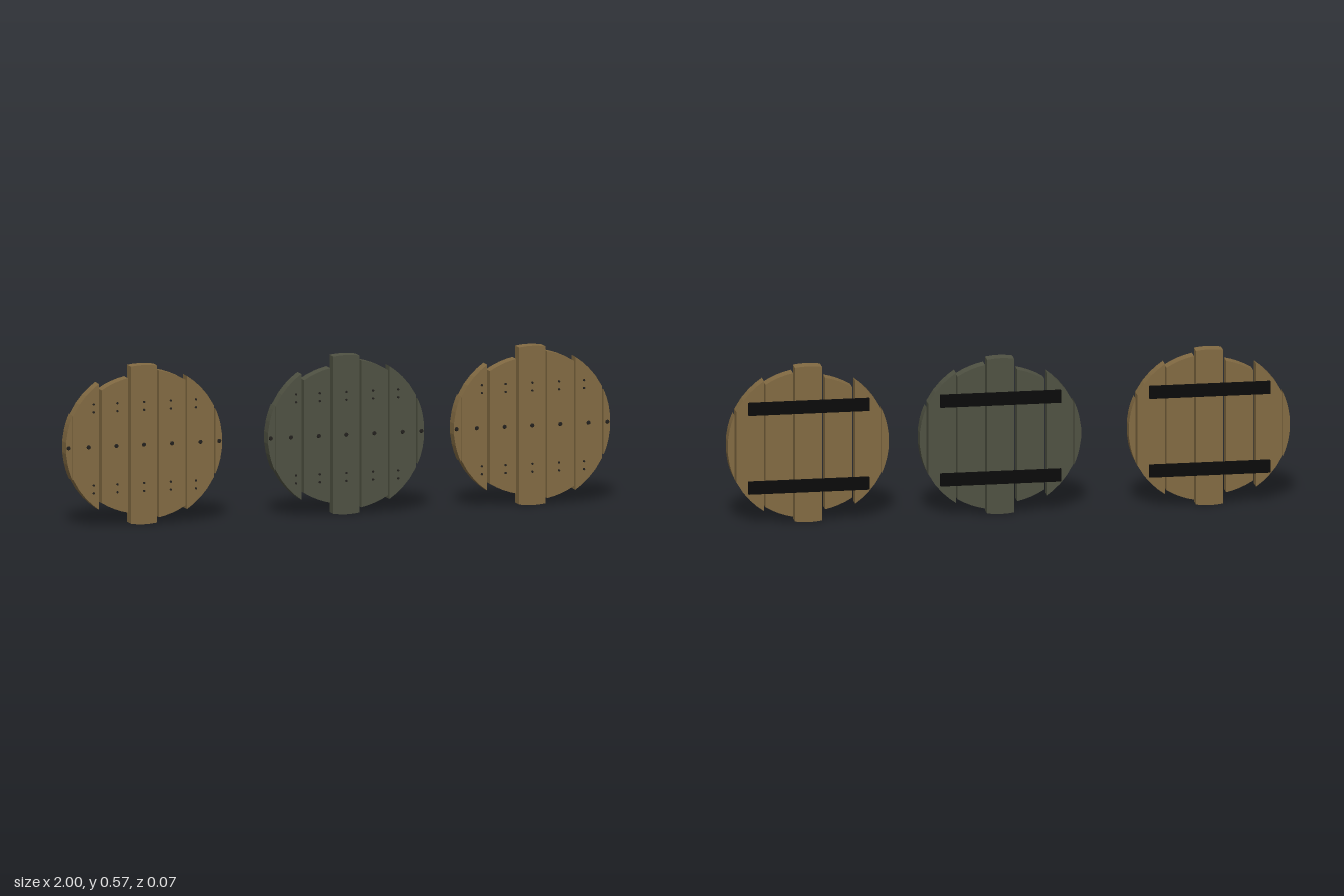
import * as THREE from 'three';

const R = 0.283;
const BACK = -0.018;
const FRONT = 0.029;

const mat = (name, color) => {
  const m = new THREE.MeshStandardMaterial({ color });
  m.name = name;
  return m;
};

// Planks of one disc: left edge, right edge, amount trimmed off each end
const PLANKS = [
  [-0.287, -0.262, 0],
  [-0.26, -0.165, 0.008],
  [-0.155, -0.059, 0.038],
  [-0.048, 0.048, 0],
  [0.055, 0.153, 0.017],
  [0.158, 0.256, 0],
  [0.262, 0.286, 0],
];

// Board whose ends follow the round outline
function plankGeometry(x0, x1, trim) {
  const steps = 4;
  const top = [];
  for (let i = 0; i <= steps; i++) {
    const x = x0 + ((x1 - x0) * i) / steps;
    const h = Math.sqrt(Math.max(0.0004, 0.287 ** 2 - x * x)) * (R / 0.287) - trim;
    top.push(new THREE.Vector2(x, h));
  }
  const bottom = top.map((p) => new THREE.Vector2(p.x, -p.y)).reverse();
  const geo = new THREE.ExtrudeGeometry(new THREE.Shape([...top, ...bottom]), {
    depth: FRONT - BACK,
    bevelEnabled: false,
  });
  return geo.translate(0, 0, BACK);
}

function createDisc(wood, iron, nailMat) {
  const disc = new THREE.Group();
  const add = (name, geo, material, x = 0, y = 0, z = 0) => {
    const mesh = new THREE.Mesh(geo, material);
    mesh.name = name;
    mesh.position.set(x, y, z);
    disc.add(mesh);
  };

  for (const [x0, x1, trim] of PLANKS) add('plank', plankGeometry(x0, x1, trim), wood);

  // Two rails across the back
  const rail = new THREE.BoxGeometry(0.43, 0.044, 0.016);
  for (const y of [0.138, -0.148]) add('backRail', rail, iron, 0, y, BACK - 0.008);

  // Large nails in a row across the middle
  const bigNail = new THREE.CylinderGeometry(0.006, 0.008, 0.006, 8).rotateX(Math.PI / 2);
  for (const x of [-0.277, -0.203, -0.101, 0, 0.103, 0.207, 0.276]) {
    add('largeNail', bigNail, nailMat, x, 0, FRONT + 0.002);
  }

  // Pairs of small nails holding each rail
  const smallNail = new THREE.CylinderGeometry(0.004, 0.004, 0.006, 8).rotateX(Math.PI / 2);
  for (const x of [-0.185, -0.098, 0, 0.098, 0.19]) {
    for (const y of [0.152, 0.124, -0.136, -0.164]) {
      add('smallNail', smallNail, nailMat, x, y, FRONT + 0.001);
    }
  }
  return disc;
}

export function createModel() {
  const brown = mat('brownWood', 0x836b43);
  const green = mat('greenGreyWood', 0x505243);
  const iron = mat('blackIron', 0x0a0a0a);
  const nail = mat('darkNail', 0x23211e);

  const model = new THREE.Group();
  model.name = 'roundPlankDiscs';
  const discs = [
    ['rightDisc', -0.713, brown],
    ['middleDisc', 0.029, green],
    ['leftDisc', 0.711, brown],
  ];
  for (const [name, x, wood] of discs) {
    const disc = createDisc(wood, iron, nail);
    disc.name = name;
    disc.position.set(x, R, 0);
    model.add(disc);
  }
  return model;
}
